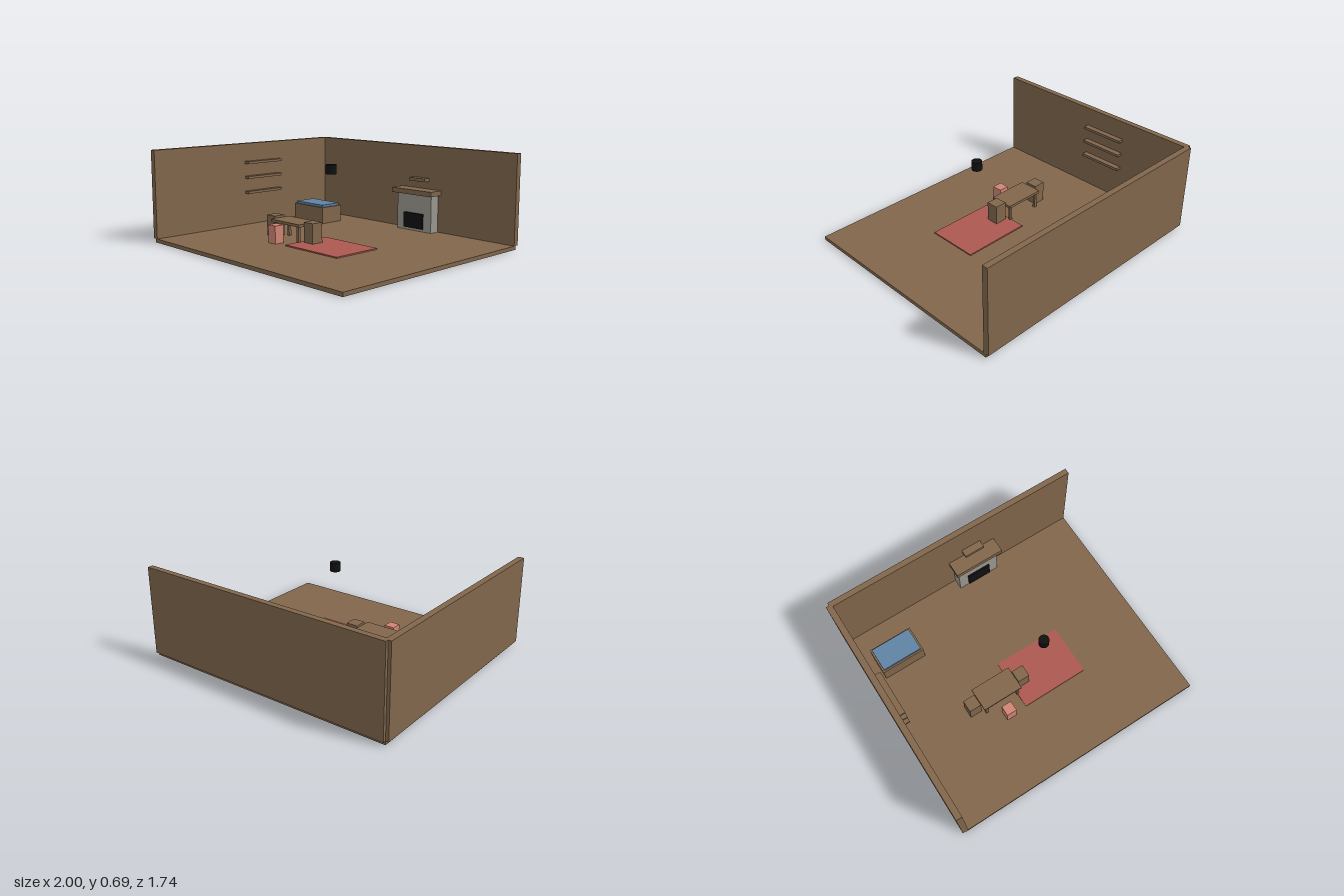
import * as THREE from 'three';

const mat = (color) => new THREE.MeshStandardMaterial({ color });

export function createModel() {
  const room = new THREE.Group();
  room.name = 'room';
  const wood = mat(0x80664b), stone = mat(0x9a978f), black = mat(0x101010);
  const blue = mat(0x5f83a3), red = mat(0xab5850), pink = mat(0xcf8474);
  const FLOOR = 0.028, TOP = 0.685, WALL_X = -0.955, WALL_Z = -0.827;

  // Box given by its [min, max] range on each axis
  function box(name, material, [x0, x1], [y0, y1], [z0, z1], parent = room) {
    const mesh = new THREE.Mesh(new THREE.BoxGeometry(x1 - x0, y1 - y0, z1 - z0), material);
    mesh.position.set((x0 + x1) / 2, (y0 + y1) / 2, (z0 + z1) / 2);
    mesh.name = name;
    parent.add(mesh);
    return mesh;
  }
  function group(name) {
    const g = new THREE.Group();
    g.name = name;
    room.add(g);
    return g;
  }

  // Shell: floor and two walls
  box('floor', wood, [-0.977, 1], [0, FLOOR], [-0.847, 0.87]);
  box('backWall', wood, [-0.977, 1], [FLOOR, TOP], [-0.87, WALL_Z]);
  box('sideWall', wood, [-1, WALL_X], [FLOOR, TOP], [-0.847, 0.87]);

  // Wall shelves
  const shelves = group('wallShelves');
  for (const y of [0.282, 0.403, 0.522])
    box('shelf', wood, [WALL_X, -0.912], [y, y + 0.02], [-0.293, 0.049], shelves);

  // Bed
  const bed = group('bed');
  box('bedFrame', wood, [-0.886, -0.546], [FLOOR, 0.16], [-0.622, -0.414], bed);
  box('mattress', blue, [-0.873, -0.56], [0.16, 0.178], [-0.61, -0.427], bed);

  // Table with four legs
  const table = group('table');
  box('tableTop', wood, [-0.412, -0.095], [0.15, 0.17], [0.051, 0.232], table);
  for (const x of [-0.389, -0.122])
    for (const z of [0.073, 0.215])
      box('tableLeg', wood, [x - 0.01, x + 0.01], [FLOOR, 0.15], [z - 0.01, z + 0.01], table);

  // Seats around the table
  for (const x of [-0.51, -0.093])
    box('chair', wood, [x, x + 0.093], [FLOOR, 0.185], [0.096, 0.189]);
  box('stool', pink, [-0.295, -0.216], [FLOOR, 0.16], [0.275, 0.353]);

  // Rug
  box('rug', red, [-0.124, 0.4], [FLOOR, 0.037], [-0.053, 0.338]);

  // Fireplace with mantel and a small ledge above
  const fireplace = group('fireplace');
  box('chimneyBreast', stone, [-0.027, 0.31], [FLOOR, 0.315], [WALL_Z, -0.745], fireplace);
  box('firebox', black, [0.048, 0.235], [0.048, 0.167], [-0.78, -0.731], fireplace);
  box('mantel', wood, [-0.055, 0.337], [0.315, 0.353], [WALL_Z, -0.706], fireplace);
  box('ledge', wood, [0.063, 0.22], [0.412, 0.437], [WALL_Z, -0.77], fireplace);

  // Hanging lantern
  const lantern = new THREE.Mesh(new THREE.CylinderGeometry(0.038, 0.038, 0.066, 16), black);
  lantern.position.set(0.142, 0.583, 0.143);
  lantern.name = 'lantern';
  room.add(lantern);

  return room;
}
